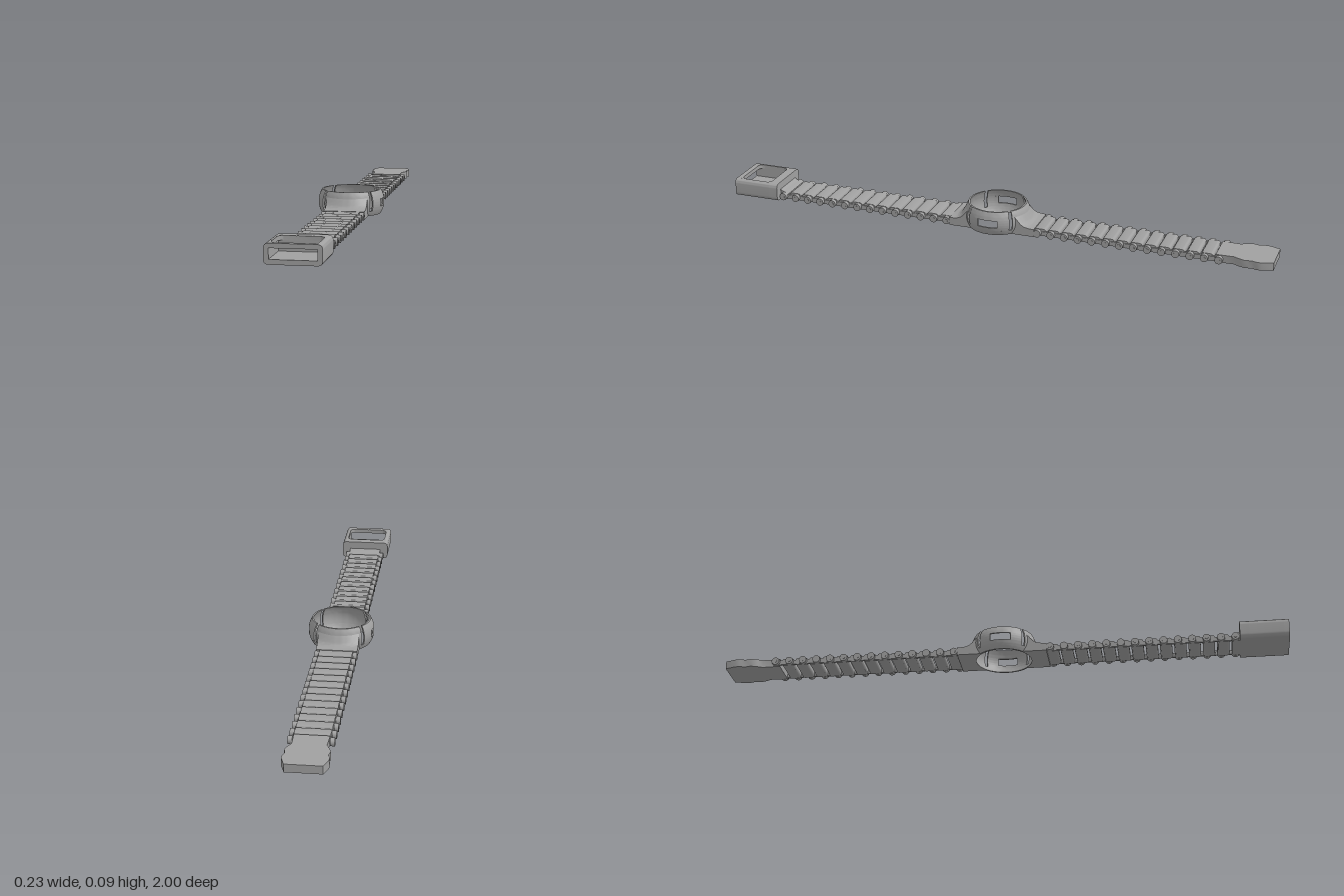
import * as THREE from 'three';
import { mergeGeometries, toCreasedNormals } from 'three/addons/utils/BufferGeometryUtils.js';

const grey = new THREE.MeshStandardMaterial({ color: 0xa0a0a0, side: THREE.DoubleSide });
grey.name = 'strap grey';

const PITCH = 0.0496, FIRST = 0.17, COUNT = 14, DEG = Math.PI / 180;

function add(parent, name, geometry, x = 0, y = 0, z = 0) {
  const mesh = new THREE.Mesh(geometry, grey);
  mesh.name = name;
  mesh.position.set(x, y, z);
  parent.add(mesh);
  return mesh;
}

const polygon = (pts) => new THREE.Shape(pts.map(([x, y]) => new THREE.Vector2(x, y)));

function roundRect(target, x0, y0, x1, y1, r) {
  target.moveTo(x0 + r, y0);
  target.lineTo(x1 - r, y0).quadraticCurveTo(x1, y0, x1, y0 + r);
  target.lineTo(x1, y1 - r).quadraticCurveTo(x1, y1, x1 - r, y1);
  target.lineTo(x0 + r, y1).quadraticCurveTo(x0, y1, x0, y1 - r);
  target.lineTo(x0, y0 + r).quadraticCurveTo(x0, y0, x0 + r, y0);
  return target;
}

function extrude(shape, depth, steps = 1) {
  const g = new THREE.ExtrudeGeometry(shape, { depth, steps, bevelEnabled: false, curveSegments: 8 });
  return toCreasedNormals(g, 0.6);
}

// Extrudes a (z, y) side profile across the strap width, centred on x = 0
function extrudeAcross(shape, width, steps = 1) {
  return extrude(shape, width, steps).translate(0, 0, -width / 2).rotateY(-Math.PI / 2);
}

// Bulging ring wall
const outerRadius = (y) => 0.117 - 0.013 * ((y - 0.043) / 0.043) ** 2;
const WALL = 0.006;

function ringSector(y0, y1, from, to) {
  const n = 8, pts = [];
  for (let i = 0; i <= n; i++) {
    const y = y0 + (y1 - y0) * i / n;
    pts.push(new THREE.Vector2(outerRadius(y), y));
  }
  for (let i = n; i >= 0; i--) pts.push(new THREE.Vector2(pts[i].x - WALL, pts[i].y));
  const segments = Math.max(4, Math.ceil((to - from) / 4));
  const wall = new THREE.LatheGeometry([...pts, pts[0].clone()], segments, from * DEG, (to - from) * DEG);
  const parts = [wall];
  if (to - from < 360) {
    for (const a of [from, to]) parts.push(new THREE.ShapeGeometry(new THREE.Shape(pts)).rotateY(a * DEG - Math.PI / 2));
  }
  return toCreasedNormals(mergeGeometries(parts.map((p) => p.toNonIndexed())), 0.6);
}

function makeRing() {
  const ring = new THREE.Group();
  ring.name = 'caseRing';
  add(ring, 'ringBase', ringSector(0, 0.018, 0, 360));
  for (const turn of [0, 180]) {
    add(ring, 'endWall', ringSector(0.018, 0.086, turn - 44, turn + 44));
    // Side wall between the slits, with a window
    const c = turn + 90;
    add(ring, 'sideWallLower', ringSector(0.018, 0.031, c - 40, c + 40));
    add(ring, 'sideWallUpper', ringSector(0.057, 0.086, c - 40, c + 40));
    add(ring, 'windowPost', ringSector(0.031, 0.057, c - 40, c - 18));
    add(ring, 'windowPost', ringSector(0.031, 0.057, c + 18, c + 40));
  }
  return ring;
}

// Flared lug whose inner end follows the ring
function makeLug() {
  const s = new THREE.Shape();
  s.moveTo(0, 0).lineTo(1, 0).lineTo(1, 0.028).lineTo(0.75, 0.029);
  s.bezierCurveTo(0.4, 0.031, 0.22, 0.04, 0, 0.072);
  for (const y of [0.054, 0.036, 0.018]) s.lineTo(0, y);
  const g = new THREE.ExtrudeGeometry(s, { depth: 0.144, steps: 20, bevelEnabled: false, curveSegments: 10 });
  const p = g.attributes.position;
  for (let i = 0; i < p.count; i++) {
    const d = p.getX(i), y = p.getY(i), x = 0.072 - p.getZ(i);
    const inner = Math.sqrt((outerRadius(y) - 0.003) ** 2 - x * x);
    p.setXYZ(i, x, y, inner + d * (0.158 - inner));
  }
  return toCreasedNormals(g, 0.6);
}

// Link plate: flat bottom, rounded ends
function makePlate() {
  const s = roundRect(new THREE.Shape(), -0.014, 0.002, 0.0285, 0.028, 0.009);
  return extrudeAcross(s, 0.116);
}

function makeStrap(name, plate, lug, knuckle, pin) {
  const strap = new THREE.Group();
  strap.name = name;
  add(strap, 'lug', lug);
  for (let i = 0; i < COUNT; i++) {
    const link = new THREE.Group();
    link.name = 'link';
    link.position.z = FIRST + i * PITCH;
    if (i < COUNT - 1) add(link, 'linkPlate', plate);
    for (const side of [-1, 1]) {
      add(link, 'knuckle', knuckle, side * 0.0665, 0.014, 0);
      add(link, 'hingePin', pin, side * 0.067, 0.014, 0);
      // Narrow arm reaching toward the next hinge
      if (i < COUNT - 1) add(link, 'linkArm', new THREE.BoxGeometry(0.008, 0.016, PITCH), side * 0.057, 0.012, PITCH / 2);
    }
    strap.add(link);
  }
  return strap;
}

function makeClasp() {
  const clasp = new THREE.Group();
  clasp.name = 'clasp';
  const outline = () => roundRect(new THREE.Shape(), -0.09, 0, 0.09, 0.065, 0.016);
  add(clasp, 'claspBack', extrude(outline(), 0.033), 0, 0, 0.83);
  const front = outline();
  front.holes.push(polygon([[-0.074, 0.016], [-0.074, 0.05], [0.074, 0.05], [0.074, 0.016]]));
  add(clasp, 'claspFront', extrude(front, 0.018), 0, 0, 0.982);
  // Open tray between the two ends
  const tray = new THREE.Shape();
  tray.moveTo(-0.074, 0).lineTo(0.074, 0).quadraticCurveTo(0.09, 0, 0.09, 0.016);
  tray.lineTo(0.09, 0.049).quadraticCurveTo(0.09, 0.065, 0.074, 0.065);
  tray.lineTo(0.074, 0.016).lineTo(-0.074, 0.016).lineTo(-0.074, 0.065);
  tray.quadraticCurveTo(-0.09, 0.065, -0.09, 0.049).lineTo(-0.09, 0.016).quadraticCurveTo(-0.09, 0, -0.074, 0);
  add(clasp, 'claspTray', extrude(tray, 0.119), 0, 0, 0.863);
  // Rounded corners of the top window
  const frame = polygon([[-0.075, -0.061], [0.075, -0.061], [0.075, 0.061], [-0.075, 0.061]]);
  frame.holes.push(roundRect(new THREE.Path(), -0.073, -0.059, 0.073, 0.059, 0.022));
  add(clasp, 'windowFrame', extrude(frame, 0.0145).rotateX(-Math.PI / 2), 0, 0.0503, 0.9225);
  // Curved step down to the strap
  const step = new THREE.Shape();
  step.moveTo(0.802, 0.002).lineTo(0.835, 0.002).lineTo(0.835, 0.046);
  step.quadraticCurveTo(0.829, 0.03, 0.81, 0.028).lineTo(0.802, 0.02);
  add(clasp, 'claspNeck', extrudeAcross(step, 0.12));
  return clasp;
}

// Wavy tongue that slides into the clasp
function makeTongue() {
  const half = [[0.057, 0.802], [0.055, 0.865], [0.064, 0.882], [0.072, 0.905], [0.067, 0.927],
    [0.073, 0.945], [0.073, 0.962], [0.06, 1]];
  const pts = [...half, ...half.map(([x, z]) => [-x, z]).reverse()];
  return extrude(polygon(pts), 0.028).rotateX(-Math.PI / 2);
}

export function createModel() {
  const model = new THREE.Group();
  model.name = 'watchStrap';
  const plate = makePlate(), lug = makeLug();
  const knuckle = new THREE.CylinderGeometry(0.0135, 0.0135, 0.015, 20).rotateZ(Math.PI / 2);
  const pin = new THREE.CylinderGeometry(0.006, 0.006, 0.016, 12).rotateZ(Math.PI / 2);

  model.add(makeRing());
  const frontStrap = makeStrap('frontStrap', plate, lug, knuckle, pin);
  const backStrap = makeStrap('backStrap', plate, lug, knuckle, pin);
  backStrap.rotation.y = Math.PI;
  model.add(frontStrap, backStrap);
  model.add(makeClasp());
  add(model, 'tongue', makeTongue());
  return model;
}
